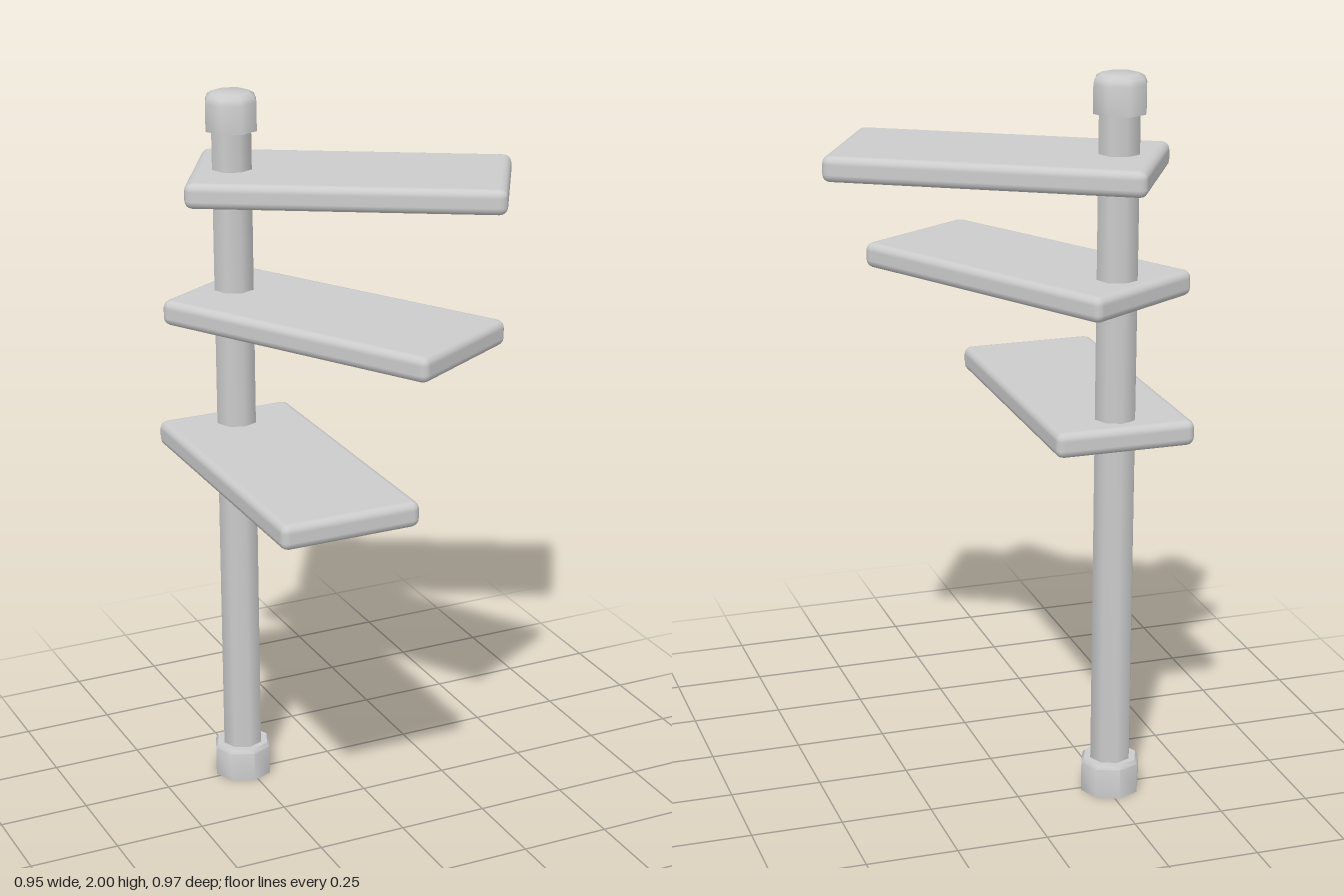
import * as THREE from 'three';
import { RoundedBoxGeometry } from 'three/addons/geometries/RoundedBoxGeometry.js';
import { toCreasedNormals } from 'three/addons/utils/BufferGeometryUtils.js';

const POST_X = -0.262, POST_Z = -0.263, SIDES = 8;

export function createModel() {
  const model = new THREE.Group();
  const grey = new THREE.MeshStandardMaterial({ color: 0xcccccc });
  const greyOpen = new THREE.MeshStandardMaterial({ color: 0xcccccc, side: THREE.DoubleSide });

  // Eight-sided turned part on the post axis, profile given as [radius, y] from bottom to top
  function turned(name, profile, material) {
    const points = profile.map(([r, y]) => new THREE.Vector2(r, y));
    const geometry = toCreasedNormals(new THREE.LatheGeometry(points, SIDES), 0.9);
    const mesh = new THREE.Mesh(geometry, material);
    mesh.name = name;
    mesh.position.set(POST_X, 0, POST_Z);
    model.add(mesh);
  }

  turned('post', [[0.057, 0.07], [0.057, 1.93]], greyOpen);

  // Foot collar, open underneath
  turned('footCollar', [[0.083, 0], [0.083, 0.085], [0.075, 0.096], [0.055, 0.096]], greyOpen);

  // Cap with a softened top edge
  turned('postCap', [[0, 1.9], [0.073, 1.9], [0.073, 1.975], [0.067, 1.991], [0.052, 2], [0, 2]], grey);

  // Three treads fanning around the post: name, centre x, y, z, turn in degrees
  const treads = [
    ['lowerTread', -0.263, 1.045, 0.063, 0],
    ['middleTread', -0.105, 1.427, 0.023, 30],
    ['upperTread', 0.019, 1.76, -0.12, 60],
  ];
  const treadGeometry = new RoundedBoxGeometry(0.387, 0.07, 0.843, 2, 0.022);
  for (const [name, x, y, z, turn] of treads) {
    const tread = new THREE.Mesh(treadGeometry, grey);
    tread.name = name;
    tread.position.set(x, y, z);
    tread.rotation.y = THREE.MathUtils.degToRad(turn);
    model.add(tread);
  }

  return model;
}
